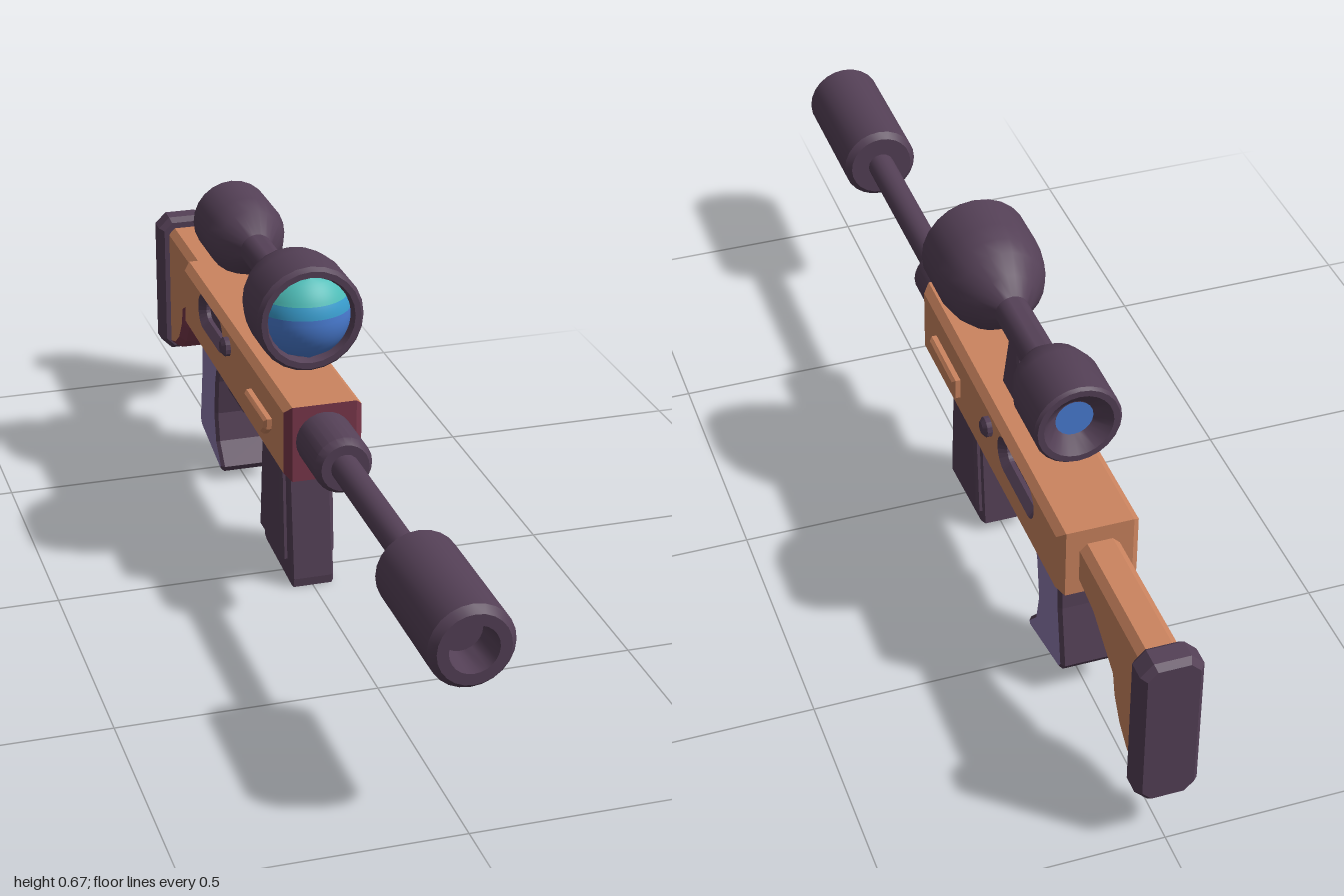
import * as THREE from 'three';
import { toCreasedNormals } from 'three/addons/utils/BufferGeometryUtils.js';

const mat = (name, color, side = THREE.FrontSide) => {
  const m = new THREE.MeshStandardMaterial({ color, side });
  m.name = name;
  return m;
};

// Polygon from [a, b] pairs
const poly = pts => new THREE.Shape(pts.map(p => new THREE.Vector2(p[0], p[1])));

// Side profile in [z, y], extruded across x with chamfered edges inside the outline
function slab(shape, halfWidth, bevel) {
  const depth = 2 * (halfWidth - bevel);
  return new THREE.ExtrudeGeometry(shape, {
    depth, curveSegments: 6, bevelEnabled: bevel > 0,
    bevelThickness: bevel, bevelSize: bevel, bevelOffset: -bevel, bevelSegments: 1,
  }).translate(0, 0, -depth / 2).rotateY(-Math.PI / 2);
}

// Round part along z from [radius, z] points, listed back to front
function turned(pts, y, segments = 24) {
  const g = new THREE.LatheGeometry(pts.map(p => new THREE.Vector2(p[0], p[1])), segments);
  return toCreasedNormals(g.rotateX(Math.PI / 2), 0.6).translate(0, y, 0);
}

// Give each triangle a material index from its centre and normal
function paint(geometry, rule) {
  const g = geometry.index ? geometry.toNonIndexed() : geometry;
  const p = g.attributes.position;
  const tri = new THREE.Triangle(), c = new THREE.Vector3(), n = new THREE.Vector3();
  g.clearGroups();
  for (let i = 0; i < p.count; i += 3) {
    tri.setFromAttributeAndIndices(p, i, i + 1, i + 2);
    tri.getMidpoint(c);
    tri.getNormal(n);
    g.addGroup(i, 3, rule(c, n));
  }
  return g;
}

// Rounded slot outline in [z, y]
function slot(Type, z0, z1, y, r) {
  const s = new Type();
  s.absarc(z1 - r, y, r, -Math.PI / 2, Math.PI / 2);
  s.absarc(z0 + r, y, r, Math.PI / 2, Math.PI * 1.5);
  s.closePath();
  return s;
}

export function createModel() {
  const group = new THREE.Group();
  const plum = mat('plum metal', 0x544056);
  const orange = mat('orange shell', 0xcb845f);
  const crimson = mat('crimson underside', 0x7a384b);
  const violet = mat('violet grip', 0x8d79ad);
  const blue = mat('blue glass', 0x4a7dd4);
  const cyan = mat('cyan glass', 0x3a9fd0);
  const teal = mat('teal glass', 0x4dbdb8);

  const add = (name, geometry, material) => {
    const m = new THREE.Mesh(geometry, material);
    m.name = name;
    group.add(m);
    return m;
  };

  // Barrel line
  const by = 0.357;
  add('suppressor', turned([[0, 0.7], [0.066, 0.7], [0.078, 0.712], [0.078, 0.985], [0.066, 1],
    [0.045, 1], [0.04, 0.93], [0, 0.93]], by), plum);
  add('barrel', turned([[0.028, 0.25], [0.028, 0.72]], by, 16), plum);
  add('barrelCollar', turned([[0, 0.14], [0.057, 0.14], [0.057, 0.275], [0.047, 0.29], [0, 0.29]], by), plum);

  // Receiver with a slot through it; crimson front and underside
  const body = poly([[-0.645, 0.285], [0.155, 0.274], [0.155, 0.43], [-0.645, 0.43]]);
  body.holes.push(slot(THREE.Path, -0.5, -0.325, 0.38, 0.023));
  add('receiver', paint(slab(body, 0.078, 0.014), (c, n) => {
    if (c.z > -0.51 && c.z < -0.315 && Math.abs(c.y - 0.38) < 0.04 && Math.abs(n.x) < 0.9) return 2;
    return n.y < -0.3 || n.z > 0.3 ? 1 : 0;
  }), [orange, crimson, plum]);
  add('slotCore', new THREE.BoxGeometry(0.11, 0.08, 0.2).translate(0, 0.38, -0.412), plum);

  // Side ribs and pivot knobs
  const rib = poly([[0.062, 0.368], [0.058, 0.345], [0.035, 0.326], [-0.09, 0.326], [-0.09, 0.368]]);
  add('sideRibs', slab(rib, 0.094, 0.006), orange);
  for (const s of [-1, 1]) {
    const knob = turned([[0.02, 0.06], [0.02, 0.088], [0.012, 0.095], [0, 0.095]], 0, 12);
    add(s > 0 ? 'leftKnob' : 'rightKnob', knob.rotateY(s * Math.PI / 2).translate(0, 0.388, -0.265), plum);
  }

  // Stock and butt pad
  const stock = poly([[-0.63, 0.397], [-0.63, 0.306], [-0.715, 0.292], [-0.78, 0.255], [-0.81, 0.238],
    [-0.82, 0.2], [-0.85, 0.155], [-0.89, 0.125], [-0.95, 0.108], [-0.95, 0.397]]);
  add('stock', paint(slab(stock, 0.038, 0.014), (c, n) => (n.y < -0.25 || n.z > 0.3 ? 1 : 0)), [orange, crimson]);
  const k = 0.024, w = 0.058;
  const pad = poly([[-w + k, 0.1], [w - k, 0.1], [w, 0.1 + k], [w, 0.42 - k],
    [w - k, 0.42], [-w + k, 0.42], [-w, 0.42 - k], [-w, 0.1 + k]]);
  add('buttPad', new THREE.ExtrudeGeometry(pad, {
    depth: 0.036, bevelThickness: 0.012, bevelSize: 0.01, bevelOffset: -0.01, bevelSegments: 1,
  }).translate(0, 0, -0.988), plum);

  // Magazine with raised side panels
  add('magazine', slab(poly([[0.05, 0.29], [-0.098, 0.29], [-0.126, 0.022], [-0.11, 0.014],
    [0.078, 0.002], [0.08, 0.02]]), 0.043, 0.004), plum);
  add('magazinePanels', slab(poly([[0.03, 0.29], [-0.094, 0.29], [-0.118, 0.05], [0.045, 0.05]]), 0.055, 0.006), plum);

  // Pistol grip, violet cheeks between plum edges
  const grip = poly([[-0.44, 0.29], [-0.585, 0.29], [-0.59, 0.2], [-0.612, 0.075], [-0.6, 0.058],
    [-0.435, 0.022], [-0.425, 0.036], [-0.465, 0.08], [-0.478, 0.14], [-0.465, 0.22]]);
  add('pistolGrip', slab(grip, 0.054, 0.007), [violet, plum]);

  // Trigger and its guard
  add('triggerGuard', slab(poly([[-0.305, 0.29], [-0.345, 0.195], [-0.47, 0.195], [-0.47, 0.216],
    [-0.36, 0.216], [-0.335, 0.29]]), 0.027, 0.004), plum);
  add('trigger', slab(poly([[-0.385, 0.29], [-0.4, 0.262], [-0.386, 0.24], [-0.41, 0.24],
    [-0.43, 0.262], [-0.425, 0.29]]), 0.014, 0.003), plum);

  // Scope and its mount
  const sy = 0.567;
  add('scopeMount', slab(poly([[-0.188, 0.425], [-0.292, 0.425], [-0.27, 0.55], [-0.222, 0.55]]), 0.027, 0.004), plum);
  add('scopeBody', turned([[0, -0.5], [0.035, -0.5], [0.066, -0.528], [0.078, -0.528], [0.083, -0.522],
    [0.083, -0.41], [0.07, -0.37], [0.034, -0.325], [0.033, -0.165], [0.06, -0.135], [0.088, -0.1],
    [0.1, -0.07], [0.107, -0.03], [0.107, 0.058], [0.1, 0.068], [0.088, 0.068], [0.082, 0.05], [0, 0.05]], sy), plum);
  add('eyepieceLens', new THREE.CircleGeometry(0.036, 20).rotateY(Math.PI).translate(0, sy, -0.503), blue);

  // Domed front lens in three horizontal bands
  const a = 0.083, rise = 0.048, R = (a * a + rise * rise) / (2 * rise);
  const band = (name, y0, y1, material) => {
    const g = new THREE.PlaneGeometry(2, 1, 16, 8);
    const p = g.attributes.position;
    for (let i = 0; i < p.count; i++) {
      const y = THREE.MathUtils.lerp(y0, y1, p.getY(i) + 0.5);
      const x = p.getX(i) * Math.sqrt(Math.max(0, a * a - y * y));
      p.setXYZ(i, x, sy + y, 0.052 + Math.sqrt(R * R - x * x - y * y) - (R - rise));
    }
    g.computeVertexNormals();
    add(name, g, material);
  };
  band('lensLower', -a, 0.012, blue);
  band('lensMiddle', 0.012, 0.037, cyan);
  band('lensUpper', 0.037, a, teal);

  return group;
}
